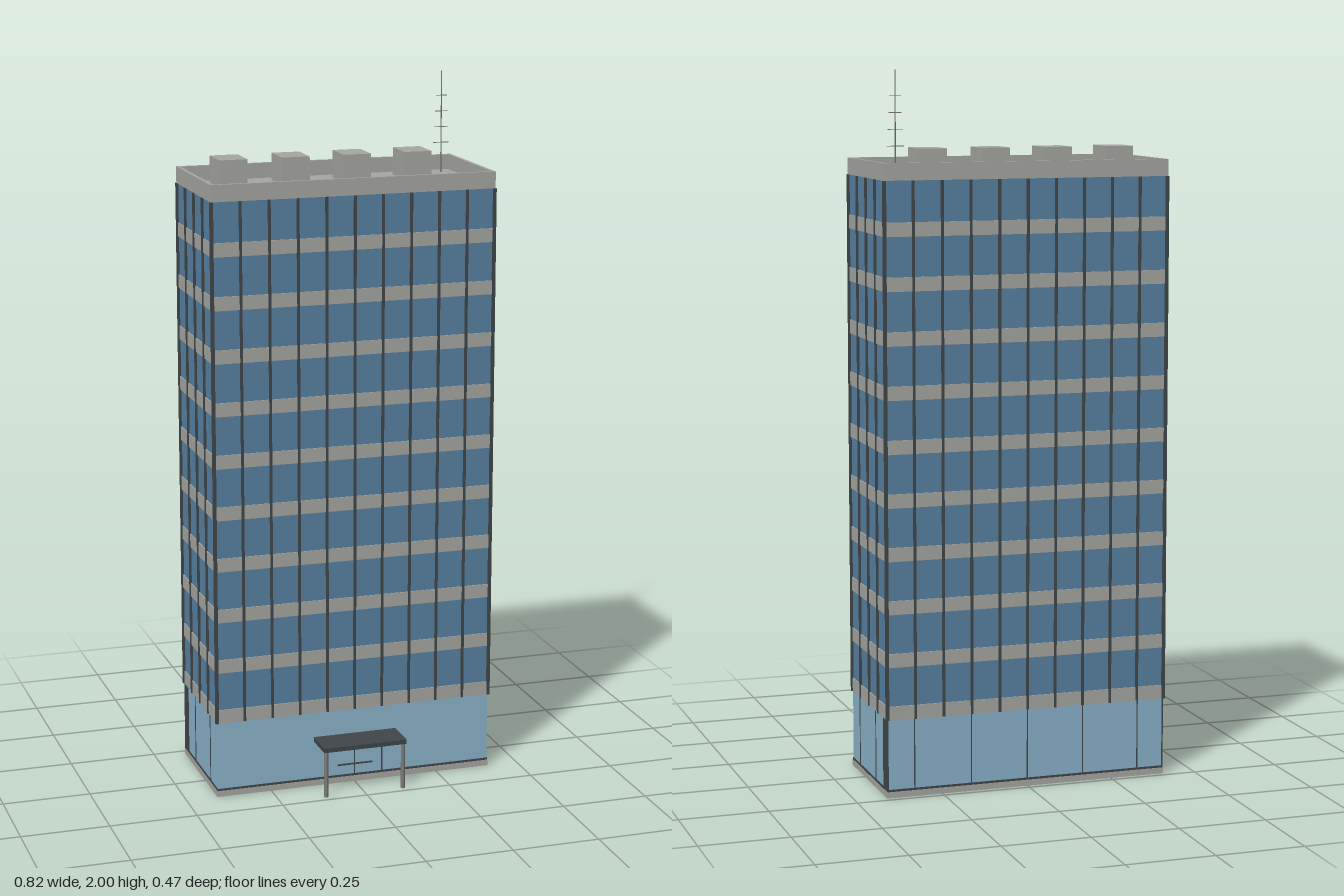
import * as THREE from 'three';

const mat = (name, color) => {
  const m = new THREE.MeshStandardMaterial({ color });
  m.name = name;
  return m;
};

export function createModel() {
  const root = new THREE.Group();
  root.name = 'officeTower';
  const concrete = mat('concrete', 0xa6a6a2);
  const glass = mat('window glass', 0x5882a3);
  const lobbyGlass = mat('lobby glass', 0x8bb2ca);
  const dark = mat('dark metal', 0x40464a);
  const steel = mat('steel', 0x7c7c7a);

  const group = (name, parent = root) => {
    const g = new THREE.Group();
    g.name = name;
    parent.add(g);
    return g;
  };
  const add = (parent, name, geo, material, x, y, z) => {
    const m = new THREE.Mesh(geo, material);
    m.name = name;
    m.position.set(x, y, z);
    parent.add(m);
    return m;
  };
  // Box given by its centre in x and z, and its bottom and top heights
  const box = (parent, name, material, x, z, w, d, y0, y1) =>
    add(parent, name, new THREE.BoxGeometry(w, y1 - y0, d), material, x, (y0 + y1) / 2, z);

  const CZ = -0.049, HX = 0.409, HZ = 0.183; // tower centre and half sizes
  const BASE = 0.22, ROOF = 1.705, STEP = 0.1482;

  // Ground floor
  const ground = group('groundFloor');
  box(ground, 'groundSlab', concrete, 0, CZ, HX * 2 + 0.002, HZ * 2 + 0.002, 0, 0.017);
  box(ground, 'sill', dark, 0, CZ, HX * 2, HZ * 2, 0.017, 0.023);
  box(ground, 'lobbyGlass', lobbyGlass, 0, CZ, HX * 2 - 0.004, HZ * 2 - 0.004, 0.023, BASE);
  for (const s of [-1, 1]) {
    box(ground, 'servicePanel', dark, s * (HX - 0.002), -0.21, 0.004, 0.042, 0.023, BASE);
    for (const z of [0.055, -0.11])
      box(ground, 'lobbySideJoint', dark, s * (HX - 0.002), z, 0.003, 0.004, 0.023, BASE);
  }
  for (let i = -2; i <= 2; i++)
    box(ground, 'lobbyBackJoint', dark, i * 0.165, CZ - HZ + 0.002, 0.003, 0.003, 0.023, BASE);

  // Entrance doors, canopy and posts
  const entrance = group('entrance');
  const front = CZ + HZ;
  for (const s of [-1, 1]) {
    box(entrance, 'doorJamb', dark, s * 0.083, front, 0.004, 0.004, 0.023, 0.137);
    add(entrance, 'canopyPost', new THREE.CylinderGeometry(0.006, 0.006, 0.137, 10), steel, s * 0.115, 0.0685, 0.227);
  }
  box(entrance, 'doorSeam', dark, 0, front, 0.002, 0.003, 0.023, 0.137);
  box(entrance, 'doorHandle', dark, 0, front + 0.004, 0.105, 0.004, 0.053, 0.057);
  box(entrance, 'canopy', dark, 0, 0.185, 0.246, 0.1, 0.135, 0.148);

  // Window body and concrete floor bands
  const tower = group('tower');
  box(tower, 'windowGlass', glass, 0, CZ, HX * 2 - 0.006, HZ * 2 - 0.006, BASE + 0.01, ROOF);
  for (let i = 0; i < 10; i++) {
    const y = BASE + i * STEP;
    box(tower, 'floorBand', concrete, 0, CZ, HX * 2, HZ * 2, y, y + 0.039);
  }

  // Vertical mullions on all four faces
  const mullions = group('mullions');
  const mullion = (x, z, w, d) => box(mullions, 'mullion', dark, x, z, w, d, BASE, ROOF);
  for (const s of [-1, 1]) {
    for (let i = 1; i < 10; i++)
      mullion(-HX + (i * HX) / 5, CZ + s * (HZ - 0.001), 0.007, 0.008);
    for (let i = 1; i < 4; i++)
      mullion(s * (HX - 0.001), CZ - HZ + (i * HZ) / 2, 0.008, 0.007);
    for (const t of [-1, 1])
      mullion(s * (HX - 0.001), CZ + t * (HZ - 0.001), 0.009, 0.009);
  }

  // Roof deck and parapet
  const roof = group('roof');
  box(roof, 'roofDeck', concrete, 0, CZ, HX * 2 - 0.01, HZ * 2 - 0.01, ROOF - 0.004, ROOF + 0.004);
  for (const s of [-1, 1]) {
    box(roof, 'parapetLong', concrete, 0, CZ + s * (HZ - 0.004), HX * 2 + 0.002, 0.01, ROOF, 1.752);
    box(roof, 'parapetShort', concrete, s * (HX - 0.004), CZ, 0.01, HZ * 2 - 0.018, ROOF, 1.752);
  }

  // Rooftop plant boxes
  for (let i = 0; i < 4; i++)
    box(roof, 'plantBox', concrete, -0.288 + i * 0.1805, -0.121, 0.081, 0.102, ROOF, 1.787);

  // Small ventilation units with dark round outlets
  for (let i = 0; i < 3; i++) {
    const x = -0.353 + i * 0.053;
    box(roof, 'ventUnit', concrete, x, 0.095, 0.035, 0.022, ROOF, 1.737);
    add(roof, 'ventOutlet', new THREE.SphereGeometry(0.012, 12, 8), dark, x, 1.722, 0.106);
  }

  // Antenna mast with crossbars
  const antenna = group('antenna');
  add(antenna, 'mast', new THREE.CylinderGeometry(0.0015, 0.002, 2 - ROOF, 8), steel, 0.36, (2 + ROOF) / 2, -0.175);
  [0.016, 0.018, 0.021, 0.024].forEach((half, i) => {
    const y = 1.93 - i * 0.045;
    box(antenna, 'crossbar', steel, 0.36, -0.175, half * 2, 0.002, y - 0.001, y + 0.001);
  });

  return root;
}
